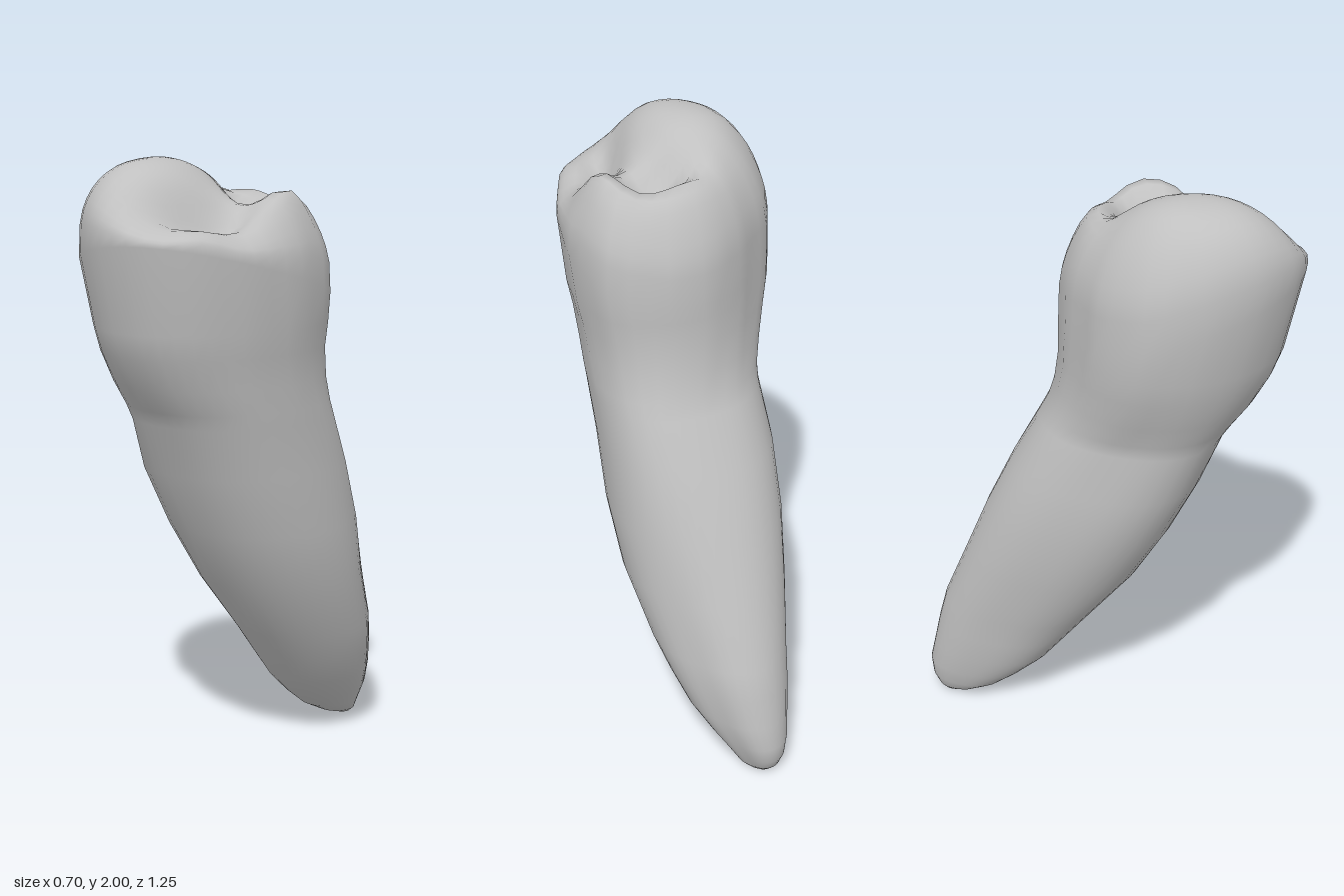
import * as THREE from 'three';

const SIDES = 40;

// Cross-sections: y, xMin, xMax, zBack, zFront, blend from oval root to crown outline
const SECTIONS = [
  [0.0, -0.11, -0.03, -0.58, -0.51, 0],
  [0.02, -0.13, 0.0, -0.60, -0.45, 0],
  [0.06, -0.15, 0.03, -0.62, -0.37, 0],
  [0.12, -0.165, 0.075, -0.63, -0.29, 0],
  [0.2, -0.18, 0.13, -0.615, -0.20, 0],
  [0.3, -0.195, 0.175, -0.595, -0.12, 0],
  [0.4, -0.205, 0.213, -0.57, -0.04, 0],
  [0.6, -0.24, 0.267, -0.487, 0.115, 0],
  [0.8, -0.265, 0.288, -0.405, 0.23, 0],
  [1.0, -0.27, 0.287, -0.31, 0.325, 0],
  [1.17, -0.257, 0.297, -0.22, 0.395, 0.2],
  [1.22, -0.267, 0.302, -0.195, 0.43, 0.4],
  [1.3, -0.297, 0.307, -0.17, 0.49, 0.7],
  [1.4, -0.327, 0.318, -0.155, 0.545, 0.9],
  [1.48, -0.345, 0.334, -0.155, 0.575, 1],
];
const CROWN = [-0.355, 0.35, -0.155, 0.632];

// Crown outline radii every 22.5 degrees, from +x towards +z
const OUTLINE = [0.97, 0.95, 0.99, 1.01, 0.98, 0.945, 0.94, 0.96, 1, 0.95, 0.88, 0.92, 1, 1.07, 1.16, 1.06];

function outlineRadius(i) {
  const f = (i / SIDES) * 16, k = Math.floor(f), t = f - k;
  const s = t * t * (3 - 2 * t);
  return OUTLINE[k % 16] * (1 - s) + OUTLINE[(k + 1) % 16] * s;
}

// Root outline: an oval with corners that swell or flatten from the tip up to the neck
function rootRadius(a, y) {
  const oval = (Math.abs(Math.cos(a)) ** 2.25 + Math.abs(Math.sin(a)) ** 2.25) ** (-1 / 2.25);
  const corner = (turns) => Math.max(0, Math.cos(a - Math.PI * turns)) ** 6;
  const up = THREE.MathUtils.smoothstep(y, 0.4, 1.15);
  return oval * (1
    + (0.26 * up - 0.19) * corner(1.75)
    + 0.04 * (1 - up) * corner(1.25)
    + (0.03 + 0.07 * up) * corner(0.75));
}

// Point on a section, scaled by s about its middle, with its normalised offsets
function ringPoint(i, y, [x0, x1, z0, z1], blend, s = 1) {
  const a = (i / SIDES) * Math.PI * 2;
  const r = s * (rootRadius(a, y) * (1 - blend) + outlineRadius(i) * blend);
  const u = Math.cos(a) * r, v = Math.sin(a) * r;
  return [(x0 + x1) / 2 + (u * (x1 - x0)) / 2, (z0 + z1) / 2 + (v * (z1 - z0)) / 2, u, v];
}

// Smooth bump; a higher power gives a flatter top and steeper sides
function bump(x, z, cx, cz, rx, rz, turn = 0, power = 1) {
  const c = Math.cos(turn), s = Math.sin(turn), dx = x - cx, dz = z - cz;
  const d = ((dx * c + dz * s) / rx) ** 2 + ((dz * c - dx * s) / rz) ** 2;
  return Math.exp(-(d ** power));
}

// Height of the chewing surface
function chewHeight(x, z) {
  return 1.75
    + 0.253 * bump(x, z, -0.13, 0.36, 0.28, 0.40, 0, 1.5) // main cusp
    + 0.19 * bump(x, z, 0.25, 0.09, 0.10, 0.15)           // small cusp
    + 0.05 * bump(x, z, 0.27, 0.45, 0.08, 0.12)           // side rim
    + 0.12 * bump(x, z, 0.06, -0.06, 0.22, 0.10)          // back rim
    - 0.08 * bump(x, z, 0.16, 0.34, 0.05, 0.16, 0.35)     // front groove
    - 0.08 * bump(x, z, 0.07, 0.07, 0.12, 0.05, 0.2);     // back pit
}

function toothGeometry() {
  const pos = [], index = [];
  // Root and lower crown
  for (const [y, x0, x1, z0, z1, blend] of SECTIONS) {
    for (let i = 0; i < SIDES; i++) {
      const [x, z] = ringPoint(i, y, [x0, x1, z0, z1], blend);
      pos.push(x, y, z);
    }
  }
  // Rounded shoulder running in over the cusps
  const scales = [1, 0.99, 0.965, 0.93, 0.88, 0.82, 0.75, 0.66, 0.57, 0.48, 0.38, 0.28, 0.18, 0.08];
  for (const s of scales) {
    const dome = (1 - s ** 3.3) ** (1 / 3.3);
    for (let i = 0; i < SIDES; i++) {
      const [x, z, u, v] = ringPoint(i, 1.6, CROWN, 1, s);
      const base = 1.635 + 0.11 * v + 0.04 * u;
      pos.push(x, base + (chewHeight(x, z) - base) * dome, z);
    }
  }
  const rings = SECTIONS.length + scales.length;
  for (let r = 0; r < rings - 1; r++) {
    for (let i = 0; i < SIDES; i++) {
      const j = (i + 1) % SIDES, a = r * SIDES + i, b = r * SIDES + j;
      index.push(a, a + SIDES, b, b, a + SIDES, b + SIDES);
    }
  }
  // Close the root tip and the middle of the crown
  const tip = rings * SIDES, top = tip + 1, last = (rings - 1) * SIDES;
  const cx = (CROWN[0] + CROWN[1]) / 2, cz = (CROWN[2] + CROWN[3]) / 2;
  pos.push(-0.07, 0, -0.545, cx, chewHeight(cx, cz), cz);
  for (let i = 0; i < SIDES; i++) {
    const j = (i + 1) % SIDES;
    index.push(tip, i, j, top, last + j, last + i);
  }
  const g = new THREE.BufferGeometry();
  g.setAttribute('position', new THREE.Float32BufferAttribute(pos, 3));
  g.setIndex(index);
  g.computeVertexNormals();
  return g;
}

export function createModel() {
  const group = new THREE.Group();
  group.name = 'tooth';
  const enamel = new THREE.MeshStandardMaterial({ color: 0xc0c0c0 });
  enamel.name = 'enamel grey';
  const tooth = new THREE.Mesh(toothGeometry(), enamel);
  tooth.name = 'crownAndRoot';
  group.add(tooth);
  return group;
}
